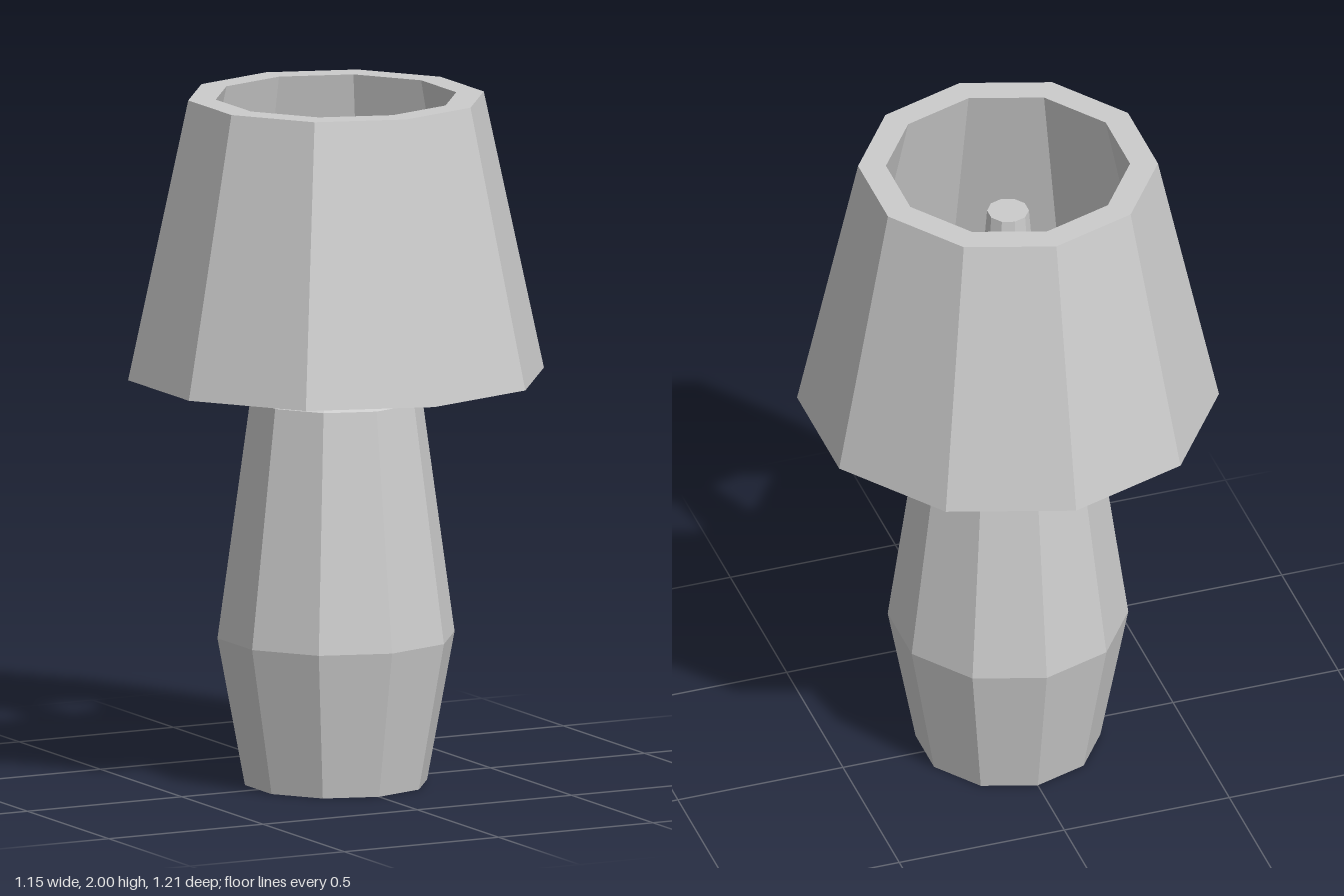
import * as THREE from 'three';

const SIDES = 10;

// Faceted solid of revolution from [radius, height] pairs, listed bottom to top on the outside
function facetedLathe(name, profile) {
  const points = profile.map(([r, y]) => new THREE.Vector2(r, y));
  const geometry = new THREE.LatheGeometry(points, SIDES).toNonIndexed();
  geometry.computeVertexNormals();
  const material = new THREE.MeshStandardMaterial({ color: 0xcccccc, flatShading: true });
  const mesh = new THREE.Mesh(geometry, material);
  mesh.name = name;
  return mesh;
}

export function createModel() {
  const lamp = new THREE.Group();
  lamp.name = 'tableLamp';

  // Vase-shaped base with a sloping shoulder
  lamp.add(facetedLathe('base', [[0, 0], [0.265, 0], [0.345, 0.43], [0.25, 1.12], [0.11, 1.19]]));

  // Tapered stem rising inside the shade, closed on top
  lamp.add(facetedLathe('stem', [[0.11, 1.19], [0.06, 1.84], [0, 1.84]]));

  // Thick-walled shade, open at both ends
  lamp.add(facetedLathe('shade', [[0.605, 1.19], [0.43, 2], [0.35, 2], [0.53, 1.19], [0.605, 1.19]]));

  return lamp;
}
